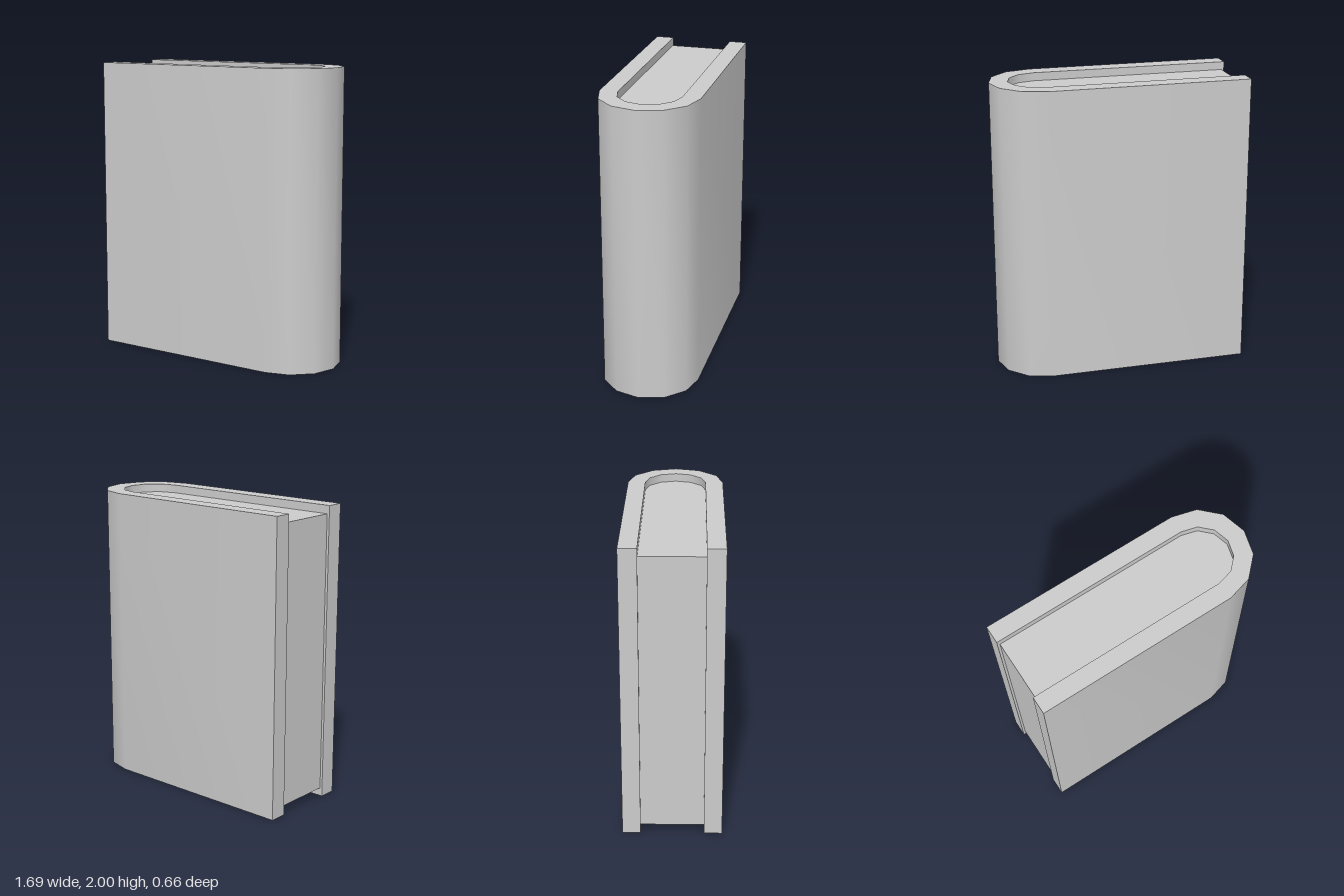
import * as THREE from 'three';
import { toCreasedNormals } from 'three/addons/utils/BufferGeometryUtils.js';

const material = new THREE.MeshStandardMaterial({ color: 0xcccccc });

// Half circle of six sides around the spine, from one board (-y) to the other (+y)
function spineArc(cx, cy, radius) {
  const points = [];
  for (let i = 0; i <= 6; i++) {
    const a = -Math.PI / 2 + (i * Math.PI) / 6;
    points.push(new THREE.Vector2(cx + radius * Math.cos(a), cy + radius * Math.sin(a)));
  }
  return points;
}

// Upright prism from a plan outline (outline y points to -z)
function prism(name, outline, bottom, height) {
  const geometry = new THREE.ExtrudeGeometry(new THREE.Shape(outline), {
    depth: height, bevelEnabled: false, steps: 1,
  });
  geometry.rotateX(-Math.PI / 2);
  geometry.translate(0, bottom, 0);
  const mesh = new THREE.Mesh(toCreasedNormals(geometry, 0.6), material);
  mesh.name = name;
  return mesh;
}

export function createModel() {
  const group = new THREE.Group();
  group.name = 'book';
  const foreEdge = -0.845, spineX = 0.515, outerR = 0.33, innerR = 0.21;
  const v = (x, y) => new THREE.Vector2(x, y);

  // Cover: two boards joined by a rounded spine
  group.add(prism('cover', [
    v(foreEdge, -outerR),
    ...spineArc(spineX, 0, outerR),
    v(foreEdge, outerR),
    v(foreEdge, innerR),
    ...spineArc(spineX - 0.005, 0, innerR).reverse(),
    v(foreEdge, -innerR),
  ], 0, 2));

  // Page block: set back from the cover at the top, bottom and fore edge
  const inset = 0.055;
  group.add(prism('pages', [
    v(-0.828, -innerR),
    ...spineArc(spineX - 0.005, 0, innerR),
    v(-0.828, innerR),
  ], inset, 2 - 2 * inset));

  return group;
}
